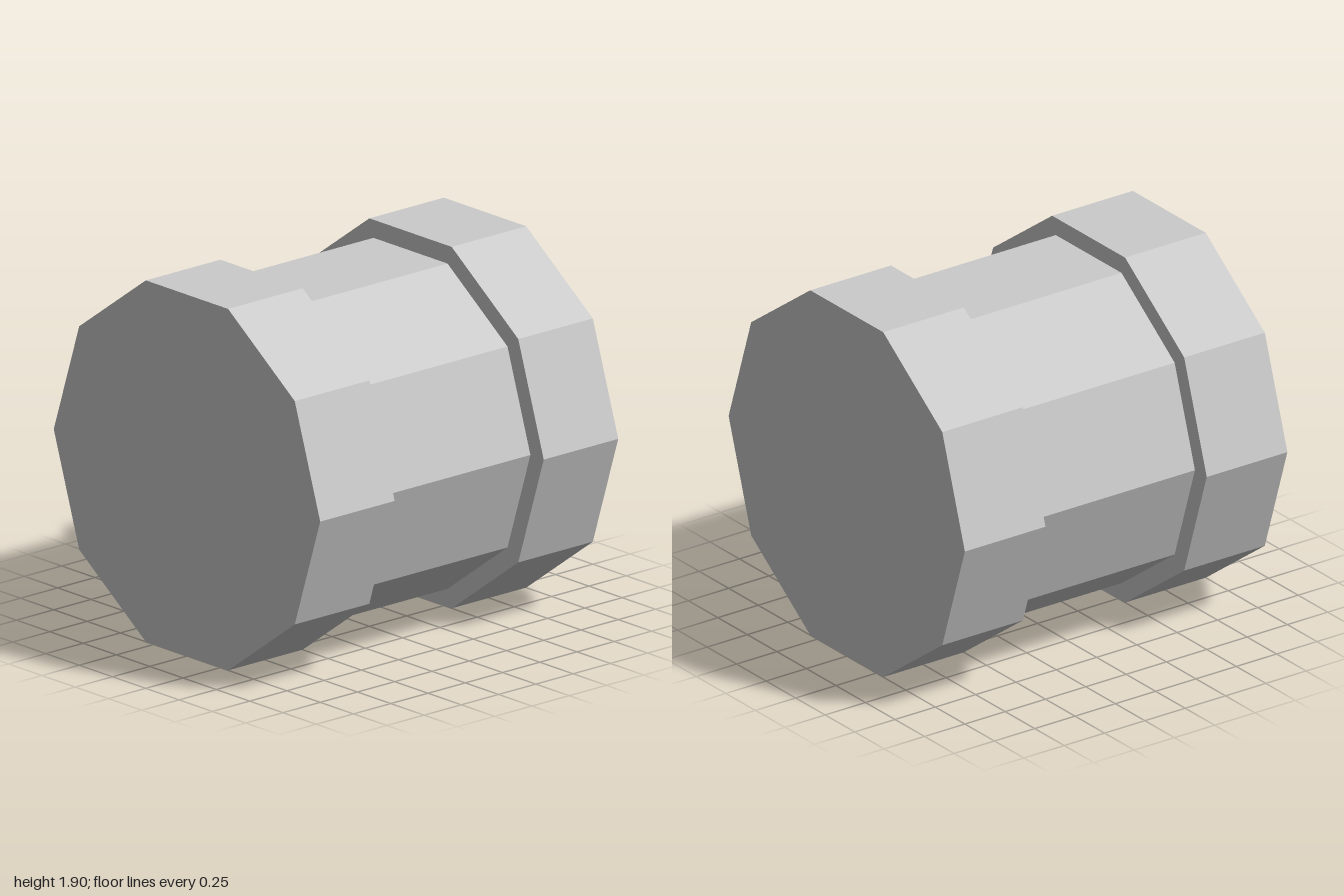
import * as THREE from 'three';

const SIDES = 10;
const RADIUS = 1;
const CENTER_Y = RADIUS * Math.cos(Math.PI / SIDES); // bottom facet rests on y = 0

export function createModel() {
  const model = new THREE.Group();
  model.name = 'spool';
  const material = new THREE.MeshStandardMaterial({ color: 0xcccccc, flatShading: true });

  // Ten-sided drum lying along x, with a corner pointing to the front
  function addDrum(name, radius, length, x, openEnded) {
    const geometry = new THREE.CylinderGeometry(radius, radius, length, SIDES, 1, openEnded);
    geometry.rotateZ(-Math.PI / 2);
    const mesh = new THREE.Mesh(geometry, material);
    mesh.name = name;
    mesh.position.set(x, CENTER_Y, 0);
    model.add(mesh);
  }

  // Narrower core, closed off by the end drums
  addDrum('core', 0.9 * RADIUS, 1, 0, true);

  // Wide end drums
  addDrum('leftEnd', RADIUS, 0.5, 0.75, false);
  addDrum('rightEnd', RADIUS, 0.5, -0.75, false);

  return model;
}
